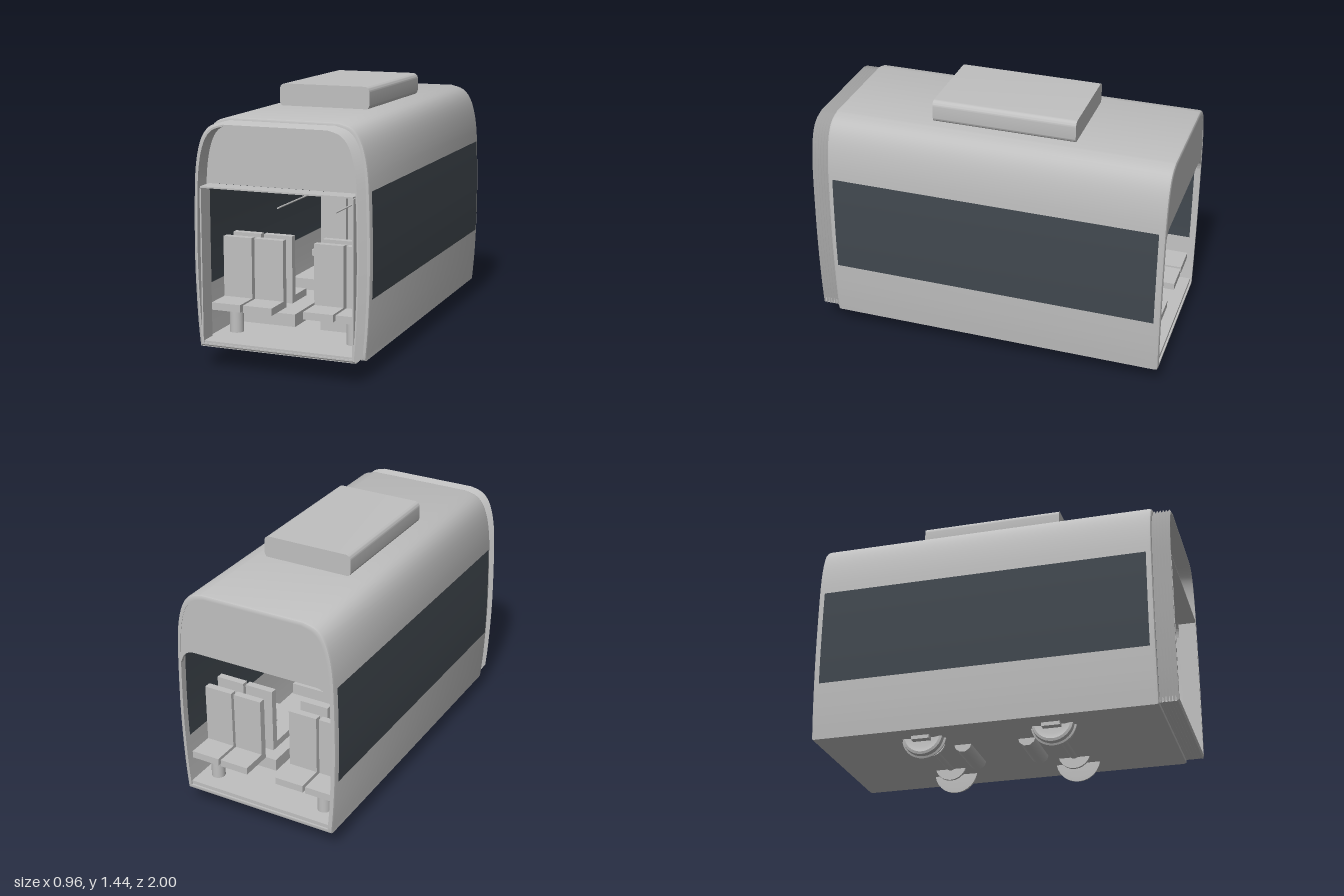
import * as THREE from 'three';
import { toCreasedNormals } from 'three/addons/utils/BufferGeometryUtils.js';

const mat = (name, color) => new THREE.MeshStandardMaterial({ name, color, side: THREE.DoubleSide });

export function createModel() {
  const grey = mat('light grey', 0xc0c0c0);
  const dark = mat('dark glass', 0x41484f);
  const model = new THREE.Group();

  const add = (name, geo, x = 0, y = 0, z = 0, m = grey, parent = model) => {
    const mesh = new THREE.Mesh(geo, m);
    mesh.name = name;
    mesh.position.set(x, y, z);
    parent.add(mesh);
    return mesh;
  };
  // box given by its limits
  const block = (name, x0, x1, y0, y1, z0, z1, m, parent) =>
    add(name, new THREE.BoxGeometry(x1 - x0, y1 - y0, z1 - z0),
      (x0 + x1) / 2, (y0 + y1) / 2, (z0 + z1) / 2, m, parent);
  // cylinder lying along x
  const rod = (name, r, len, x, y, z, sides = 24) =>
    add(name, new THREE.CylinderGeometry(r, r, len, sides).rotateZ(Math.PI / 2), x, y, z);

  // body cross-section: bulging side, rounded roof corner
  const side = new THREE.SplineCurve([
    [0.45, 0.115], [0.465, 0.3], [0.475, 0.6], [0.469, 0.95], [0.456, 1.12],
    [0.425, 1.24], [0.375, 1.305], [0.3, 1.33],
  ].map(p => new THREE.Vector2(...p))).getPoints(28);
  const ring = [...side, ...side.map(p => new THREE.Vector2(-p.x, p.y)).reverse()];
  const inset = (p, d) => new THREE.Vector2(
    p.x * (1 - d / 0.475), 0.7225 + (p.y - 0.7225) * (1 - d / 0.6075));
  const halfWidth = y => {
    const i = Math.max(1, side.findIndex(p => p.y >= y));
    const a = side[i - 1], b = side[i];
    return a.x + (b.x - a.x) * (y - a.y) / (b.y - a.y);
  };

  // skin the cross-section through [z, inset] stations
  const loft = (stations, crease) => {
    const pos = [], idx = [], n = ring.length;
    for (const [z, d] of stations)
      for (const p of ring) { const q = inset(p, d); pos.push(q.x, q.y, z); }
    for (let s = 0; s < stations.length - 1; s++)
      for (let i = 0; i < n; i++) {
        const a = s * n + i, b = s * n + (i + 1) % n;
        idx.push(a, b, b + n, a, b + n, a + n);
      }
    const g = new THREE.BufferGeometry();
    g.setAttribute('position', new THREE.Float32BufferAttribute(pos, 3));
    g.setIndex(idx);
    return toCreasedNormals(g, crease);
  };

  // hollow shell with softened ends
  add('bodyShell', loft([[-1, 0.024], [-1, 0.012], [-0.996, 0.004], [-0.985, 0],
    [0.885, 0], [0.896, 0.004], [0.9, 0.012], [0.9, 0.024], [-1, 0.024]], 0.7));

  // pleated gangway
  const pleats = [];
  for (let i = 0; i <= 12; i++) pleats.push([0.9 + i / 120, i % 2 ? 0.014 : 0.026]);
  add('gangwayBellows', loft([...pleats, [1, 0.034], [0.9, 0.034]], 0.4));
  for (const s of [-1, 1])
    add('gangwaySidePanel', new THREE.BoxGeometry(0.008, 0.82, 0.1), s * 0.42, 0.56, 0.95);
  block('gangwayTopPanel', -0.42, 0.42, 0.972, 0.98, 0.9, 1);

  // end walls above the openings
  const header = new THREE.Shape();
  header.moveTo(0.446, 0.9);
  const upper = ring.map(p => inset(p, 0.022)).filter(p => p.y > 0.91);
  upper.forEach(p => header.lineTo(p.x, p.y));
  header.lineTo(-0.446, 0.9);
  header.quadraticCurveTo(-0.43, 0.98, -0.36, 0.98);
  header.lineTo(0.36, 0.98);
  header.quadraticCurveTo(0.43, 0.98, 0.446, 0.9);
  for (const z of [-0.998, 0.878])
    add('endHeader', new THREE.ExtrudeGeometry(header,
      { depth: 0.02, bevelEnabled: false, curveSegments: 8 }), 0, 0, z);

  // floor
  block('floor', -0.43, 0.43, 0.13, 0.16, -0.99, 0.995);

  // window bands following the side, outside and inside
  for (const s of [-1, 1])
    for (const off of [0.003, -0.027]) {
      const g = new THREE.PlaneGeometry(1.835, 0.555, 1, 10).rotateY(s * Math.PI / 2);
      const p = g.attributes.position;
      for (let i = 0; i < p.count; i++) {
        const y = p.getY(i) + 0.7125;
        p.setXYZ(i, s * (halfWidth(y) + off), y, p.getZ(i) - 0.0475);
      }
      g.computeVertexNormals();
      add(off > 0 ? 'window' : 'windowInside', g, 0, 0, 0, dark);
    }

  // roof unit with rounded long edges
  const r = 0.03, w = 0.26, y0 = 1.325, y1 = 1.45;
  const pod = new THREE.Shape();
  pod.absarc(w - r, y0 + r, r, -Math.PI / 2, 0);
  pod.absarc(w - r, y1 - r, r, 0, Math.PI / 2);
  pod.absarc(-w + r, y1 - r, r, Math.PI / 2, Math.PI);
  pod.absarc(-w + r, y0 + r, r, Math.PI, Math.PI * 1.5);
  add('roofUnit', toCreasedNormals(new THREE.ExtrudeGeometry(pod,
    { depth: 0.8, bevelEnabled: false, curveSegments: 6 }), 0.6), 0, 0, -0.45);

  // seats: back-to-back rows near each end
  const seat = (x, z, dir) => {
    const g = new THREE.Group();
    g.name = 'seat';
    block('seatBack', -0.083, 0.083, 0.29, 0.66, -0.02, 0.02, grey, g);
    block('seatCushion', -0.083, 0.083, 0.29, 0.33, 0.02, 0.17, grey, g);
    g.position.set(x, 0, z);
    g.rotation.y = dir > 0 ? 0 : Math.PI;
    model.add(g);
  };
  const mid = -0.05;
  for (const end of [-1, 1]) {
    for (const s of [-1, 1]) {
      for (const x of [0.172, 0.354]) {
        seat(s * x, mid + end * 0.74, end);
        seat(s * x, mid + end * 0.62, -end);
      }
      for (const z of [0.82, 0.53])
        add('seatPedestal', new THREE.CylinderGeometry(0.038, 0.038, 0.14, 20),
          s * 0.335, 0.225, mid + end * z);
      // raised floor over the wheels
      add('wheelPlatform', new THREE.BoxGeometry(0.345, 0.075, 0.52),
        s * 0.2475, 0.1925, mid + end * 0.38);
    }
  }

  // handrails and hanging display
  for (const s of [-1, 1])
    add('handrail', new THREE.CylinderGeometry(0.005, 0.005, 1.3, 8).rotateX(Math.PI / 2),
      s * 0.167, 0.81, mid);
  add('displayHanger', new THREE.CylinderGeometry(0.006, 0.006, 0.35, 8), 0, 1.13, mid);
  block('displayCase', -0.125, 0.125, 0.865, 0.955, mid - 0.025, mid + 0.025);
  for (const s of [-1, 1])
    add('displayScreen', new THREE.BoxGeometry(0.23, 0.07, 0.004), 0, 0.91, mid + s * 0.027, dark);

  // running gear
  const wheelProfile = [[0.001, 0.02], [0.07, 0.015], [0.1, 0.025], [0.113, 0.02],
    [0.116, -0.008], [0.126, -0.013], [0.126, -0.02], [0.1, -0.022], [0.001, -0.022]]
    .map(p => new THREE.Vector2(...p)).reverse();
  const wheelGeo = toCreasedNormals(new THREE.LatheGeometry(wheelProfile, 32), 0.6);
  for (const end of [-1, 1]) {
    const z = mid + end * 0.36;
    for (const s of [-1, 1]) {
      add('wheel', wheelGeo, s * 0.305, 0.135, z).rotation.z = -s * Math.PI / 2;
      rod('brakeDisc', 0.092, 0.014, s * 0.19, 0.143, z);
      add('axleBox', new THREE.BoxGeometry(0.04, 0.04, 0.1), s * 0.345, 0.115, z);
    }
    rod('axle', 0.03, 0.6, 0, 0.137, z, 16);
    rod('axleCover', 0.04, 0.18, 0, 0.17, z);
    rod('motor', 0.05, 0.29, -0.025, 0.122, mid + end * 0.18, 10);
  }

  return model;
}
